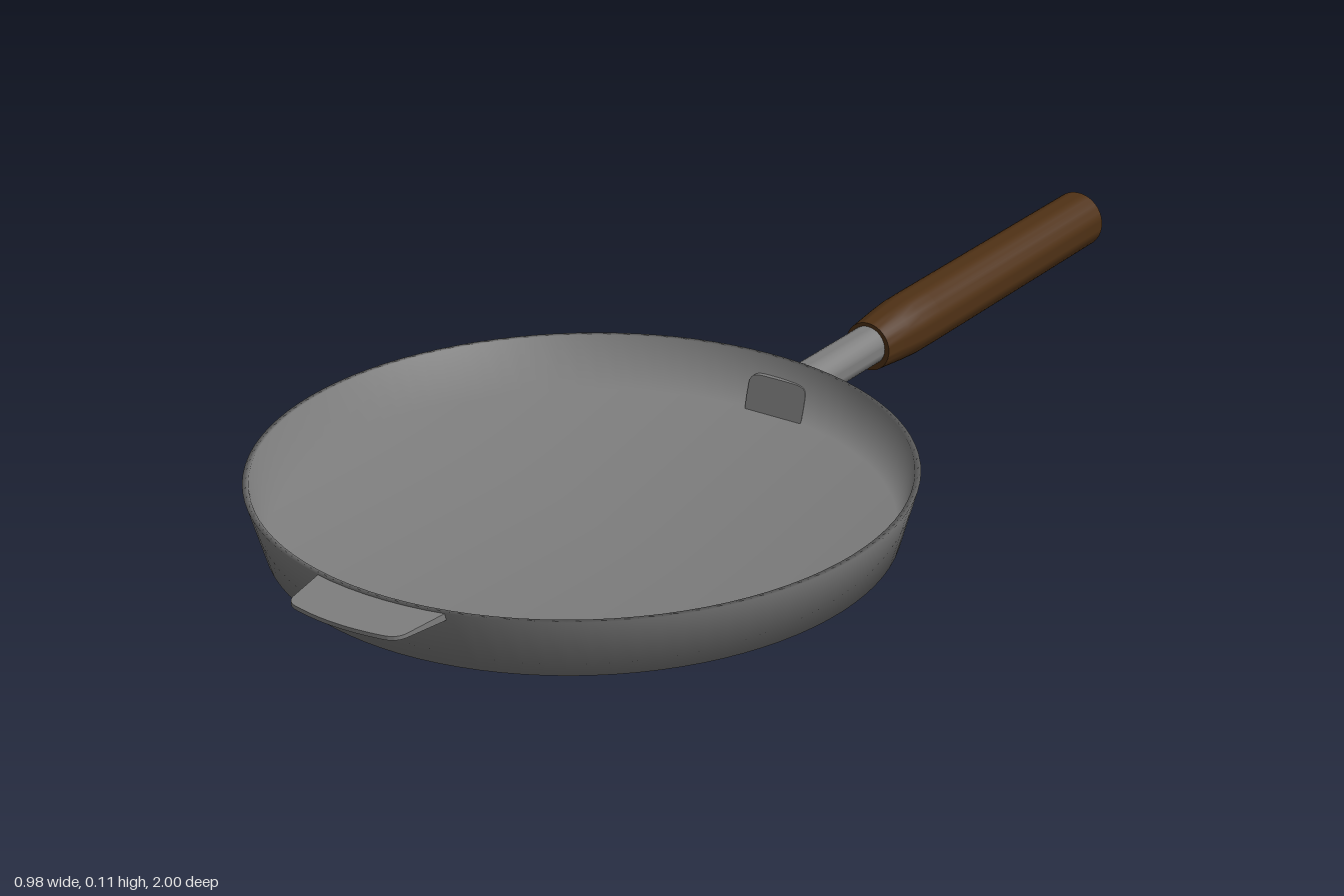
import * as THREE from 'three';
import { toCreasedNormals } from 'three/addons/utils/BufferGeometryUtils.js';

const metal = new THREE.MeshStandardMaterial({ color: 0x7e7e7e });
const wood = new THREE.MeshStandardMaterial({ color: 0x4f3115 });
const PAN_Z = 0.425;

function addMesh(parent, name, geometry, material) {
  const mesh = new THREE.Mesh(geometry, material);
  mesh.name = name;
  parent.add(mesh);
  return mesh;
}

// Turned part from [radius, height] pairs, smooth all over
function turned(profile, segments) {
  const points = profile.map(([r, y]) => new THREE.Vector2(r, y));
  return new THREE.LatheGeometry(points, segments);
}

// Turned part lying along -z, with sharp ends
function turnedRod(profile, segments) {
  return toCreasedNormals(turned(profile, segments).rotateX(-Math.PI / 2), 0.5);
}

// Loft of rounded-square rings along -z: [z, halfWidth, halfHeight, exponent, lean]
function loft(rings, sides) {
  const positions = [];
  const index = [];
  for (const [z, w, h, e, lean] of rings) {
    for (let i = 0; i < sides; i++) {
      const a = (i / sides) * Math.PI * 2;
      const c = Math.cos(a), s = Math.sin(a);
      const y = h * Math.sign(s) * Math.abs(s) ** e;
      positions.push(w * Math.sign(c) * Math.abs(c) ** e, y, z - lean * y);
    }
  }
  for (let k = 0; k < rings.length - 1; k++) {
    for (let i = 0; i < sides; i++) {
      const j = (i + 1) % sides;
      const a = k * sides + i, b = k * sides + j;
      index.push(a, a + sides, b, b, a + sides, b + sides);
    }
  }
  for (let i = 1; i < sides - 1; i++) index.push(0, i, i + 1); // cap facing +z
  const geometry = new THREE.BufferGeometry();
  geometry.setAttribute('position', new THREE.Float32BufferAttribute(positions, 3));
  geometry.setIndex(index);
  return toCreasedNormals(geometry, 0.6);
}

export function createModel() {
  const model = new THREE.Group();
  model.name = 'fryingPan';

  // Shallow pan with flared wall, softly shaded across its edges
  const pan = addMesh(model, 'pan', turned([
    [0, 0.022], [0.465, 0.022], [0.49, 0.115], [0.481, 0.115],
    [0.457, 0.031], [0, 0.031],
  ], 96), metal);
  pan.position.z = PAN_Z;

  // Helper tab on the front rim, its root following the rim
  const tabShape = new THREE.Shape();
  const rim = 0.486;
  const rootL = Math.acos(-0.092 / rim), rootR = Math.acos(0.122 / rim);
  tabShape.moveTo(0.122, rim * Math.sin(rootR));
  tabShape.lineTo(0.115, 0.545);
  tabShape.quadraticCurveTo(0.113, 0.563, 0.09, 0.567);
  tabShape.quadraticCurveTo(0.015, 0.582, -0.055, 0.567);
  tabShape.quadraticCurveTo(-0.075, 0.563, -0.078, 0.545);
  tabShape.lineTo(-0.092, rim * Math.sin(rootL));
  tabShape.absarc(0, 0, rim, rootL, rootR, true);
  const tabGeometry = new THREE.ExtrudeGeometry(tabShape, {
    depth: 0.007, bevelEnabled: false, curveSegments: 12,
  });
  tabGeometry.rotateX(Math.PI / 2);
  // Thicken the underside a little towards the rim
  const p = tabGeometry.attributes.position;
  for (let i = 0; i < p.count; i++) {
    if (p.getY(i) < -0.005) {
      const t = THREE.MathUtils.clamp((0.55 - p.getZ(i)) / 0.07, 0, 1);
      p.setY(i, -0.006 - 0.005 * t);
    }
  }
  const tab = addMesh(model, 'helperTab', toCreasedNormals(tabGeometry, 0.6), metal);
  tab.position.set(0, 0.114, PAN_Z);

  // Handle assembly, turned very slightly off the centre line
  const handle = new THREE.Group();
  handle.name = 'handle';
  handle.position.set(0.035, 0.0515, 0);
  handle.rotation.y = -0.0105;
  model.add(handle);

  // Flange passing through the pan wall and tapering into the shaft
  const flange = addMesh(handle, 'flange', loft([
    [-0.03, 0.053, 0.0325, 0.35, 0.29],
    [-0.058, 0.053, 0.0325, 0.35, 0.15],
    [-0.1, 0.034, 0.0335, 0.9, 0],
    [-0.115, 0.033, 0.033, 1, 0],
  ], 32), metal);
  flange.position.y = 0.003;

  const shaft = turnedRod([[0, 0.055], [0.033, 0.055], [0.033, 0.32], [0, 0.32]], 32);
  addMesh(handle, 'shaft', shaft, metal).position.y = 0.002;

  const grip = turnedRod([
    [0, 0.3], [0.041, 0.3], [0.047, 0.36], [0.05, 0.4], [0.0505, 0.45],
    [0.0505, 1], [0, 1],
  ], 40);
  addMesh(handle, 'grip', grip, wood);

  return model;
}
